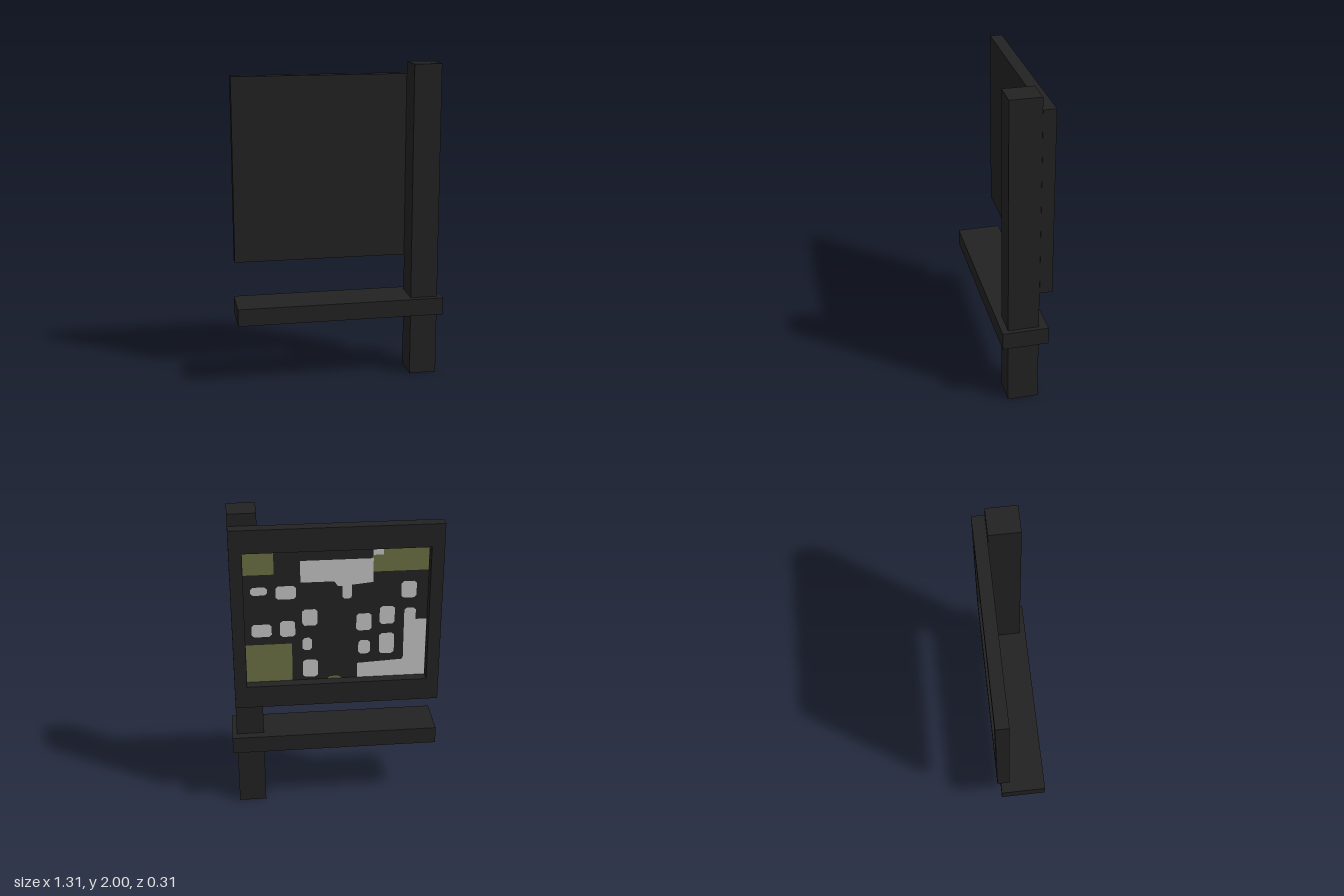
import * as THREE from 'three';

const BOARD = { left: 0.625, right: -0.65, top: 1.925, bottom: 0.752, front: -0.077, back: -0.155 };
const PANEL_Z = -0.09;

export function createModel() {
  const mat = (name, color) => new THREE.MeshStandardMaterial({ name, color });
  const dark = mat('dark wood', 0x222222);
  const olive = mat('olive green', 0x6a6f42);
  const pale = mat('pale grey', 0xc1c1c1);

  const model = new THREE.Group();
  model.name = 'mapBoard';
  const add = (name, geometry, material, parent = model) => {
    const mesh = new THREE.Mesh(geometry, material);
    mesh.name = name;
    parent.add(mesh);
    return mesh;
  };
  const box = (name, x0, x1, y0, y1, z0, z1) =>
    add(name, new THREE.BoxGeometry(x1 - x0, y1 - y0, z1 - z0), dark)
      .position.set((x0 + x1) / 2, (y0 + y1) / 2, (z0 + z1) / 2);

  // Post and the rail running through it
  box('post', 0.453, 0.626, 0, 2, -0.076, 0.115);
  box('rail', -0.657, 0.655, 0.405, 0.515, -0.13, 0.155);

  // Board frame, open at the back
  const rect = (T, x0, x1, y0, y1) => new T([[x0, y0], [x1, y0], [x1, y1], [x0, y1]]
    .map(([x, y]) => new THREE.Vector2(x, y)));
  const hx0 = BOARD.right + 0.077, hx1 = BOARD.left - 0.077;
  const hy0 = BOARD.bottom + 0.145, hy1 = BOARD.top - 0.145;
  const frame = rect(THREE.Shape, BOARD.right, BOARD.left, BOARD.bottom, BOARD.top);
  frame.holes.push(rect(THREE.Path, hx0, hx1, hy0, hy1));
  add('boardFrame', new THREE.ExtrudeGeometry(frame,
    { depth: BOARD.front - BOARD.back, bevelEnabled: false }), dark).position.z = BOARD.back;

  // Recessed map panel
  box('mapPanel', hx0, hx1, hy0, hy1, PANEL_Z, BOARD.front);

  // Map patches: u runs across and v down the board's back, both from 0 to 1
  const map = new THREE.Group();
  map.name = 'map';
  map.rotation.y = Math.PI;
  model.add(map);
  const point = ([u, v]) => new THREE.Vector2(
    -BOARD.left + u * (BOARD.left - BOARD.right),
    THREE.MathUtils.clamp(BOARD.top - v * (BOARD.top - BOARD.bottom), hy0, hy1));
  const patch = (name, points, material, lift) => {
    const shape = new THREE.Shape(points.map(point).reverse());
    add(name, new THREE.ShapeGeometry(shape), material, map).position.z = -PANEL_Z + lift;
  };

  // Green areas
  [[0.062, 0.206, 0.12, 0.262], [0.67, 0.938, 0.12, 0.267],
    [0.062, 0.285, 0.657, 0.88]].forEach(([a, b, c, d]) =>
    patch('greenArea', [[a, c], [b, c], [b, d], [a, d]], olive, 0.001));
  patch('greenMound', [[0.455, 0.877], [0.47, 0.862], [0.51, 0.862], [0.53, 0.877]], olive, 0.001);

  // Small buildings with clipped corners
  const buildings = [
    [0.093, 0.172, 0.33, 0.375], [0.212, 0.308, 0.328, 0.402],
    [0.093, 0.189, 0.54, 0.612], [0.229, 0.302, 0.525, 0.616],
    [0.336, 0.41, 0.464, 0.557], [0.336, 0.381, 0.627, 0.7],
    [0.336, 0.41, 0.757, 0.859], [0.596, 0.67, 0.5, 0.598],
    [0.709, 0.782, 0.464, 0.566], [0.607, 0.664, 0.656, 0.735],
    [0.709, 0.782, 0.619, 0.739], [0.811, 0.884, 0.327, 0.42],
  ];
  const c = 0.012;
  buildings.forEach(([u0, u1, v0, v1]) => patch('building', [
    [u0 + c, v0], [u1 - c, v0], [u1, v0 + c], [u1, v1 - c],
    [u1 - c, v1], [u0 + c, v1], [u0, v1 - c], [u0, v0 + c]], pale, 0.002));

  // Large building with a stem, its annex, and the corner building
  patch('mainBuilding', [[0.33, 0.193], [0.675, 0.193], [0.675, 0.324], [0.573, 0.335],
    [0.573, 0.405], [0.56, 0.412], [0.54, 0.412], [0.528, 0.4], [0.528, 0.34],
    [0.506, 0.338], [0.49, 0.312], [0.33, 0.312]], pale, 0.002);
  patch('annex', [[0.675, 0.137], [0.722, 0.137], [0.722, 0.175], [0.675, 0.175]], pale, 0.002);
  patch('cornerBuilding', [[0.828, 0.49], [0.84, 0.478], [0.872, 0.478], [0.884, 0.49],
    [0.884, 0.545], [0.938, 0.545], [0.938, 0.88], [0.602, 0.88], [0.602, 0.79],
    [0.82, 0.778], [0.828, 0.768]], pale, 0.002);

  return model;
}
